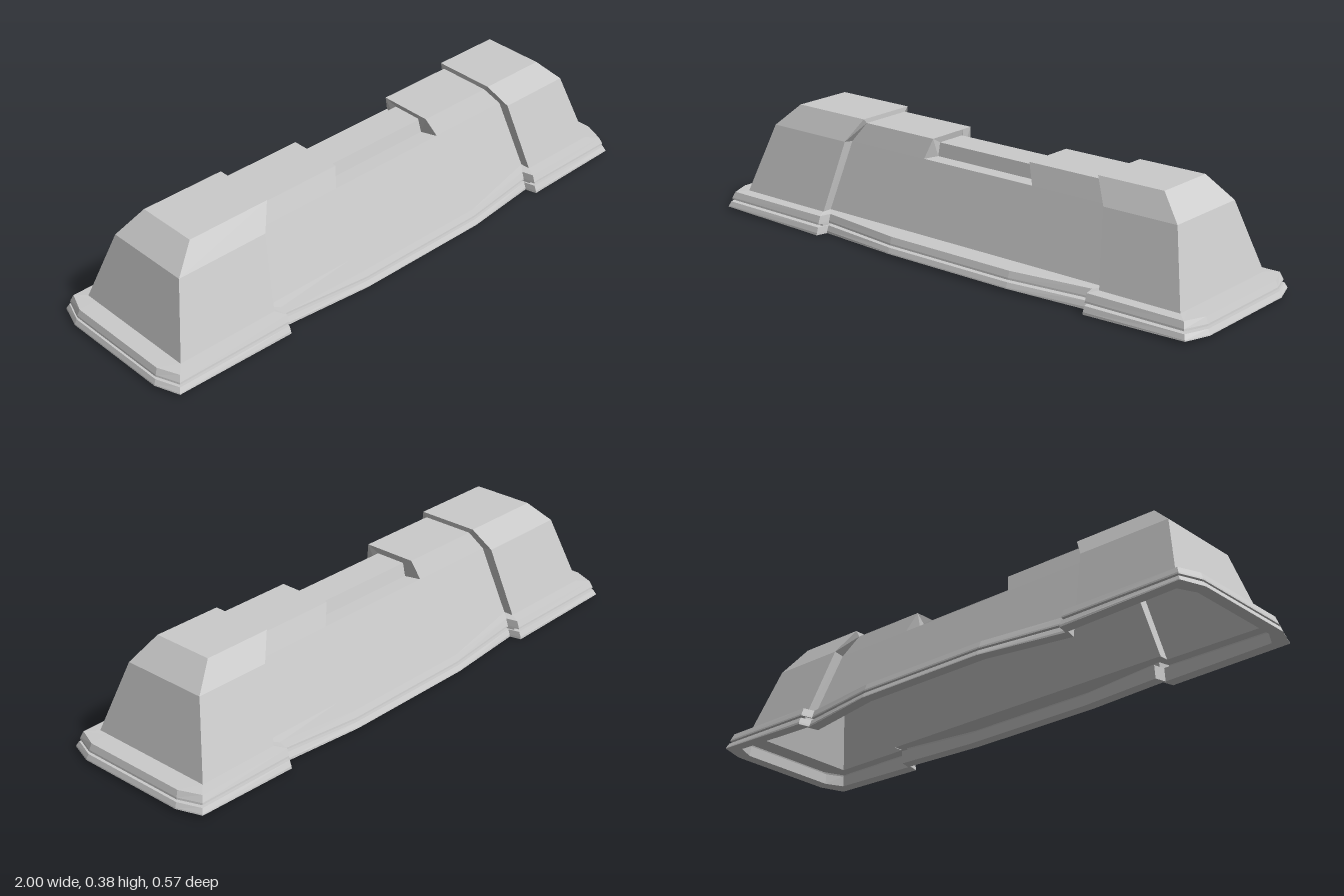
import * as THREE from 'three';

const material = new THREE.MeshStandardMaterial({ color: 0xcccccc, flatShading: true, side: THREE.DoubleSide });

// Joins rows of points into a faceted skin; caps are extra quads
function skin(name, rows, closed, caps = []) {
  const pos = [];
  const quad = (a, b, c, d) => pos.push(...a, ...b, ...c, ...a, ...c, ...d);
  for (let i = 0; i < rows.length - 1; i++) {
    const n = rows[i].length;
    for (let j = 0; j < (closed ? n : n - 1); j++) {
      const k = (j + 1) % n;
      quad(rows[i][j], rows[i][k], rows[i + 1][k], rows[i + 1][j]);
    }
  }
  caps.forEach((q) => quad(...q));
  const geometry = new THREE.BufferGeometry();
  geometry.setAttribute('position', new THREE.Float32BufferAttribute(pos, 3));
  geometry.computeVertexNormals();
  const mesh = new THREE.Mesh(geometry, material);
  mesh.name = name;
  return mesh;
}

// Front half of the rim outline: x, z, and 1 where the underside dips
const outline = [
  [-1, 0.2, 0], [-0.97, 0.285, 0], [-0.53, 0.285, 1], [-0.52, 0.245, 1], [-0.2, 0.285, 0],
  [0.3, 0.285, 0], [0.59, 0.245, 1], [0.6, 0.285, 1], [0.97, 0.285, 0], [1, 0.2, 0],
];
// Matching points around the foot of the body
const foot = [
  [-0.92, 0.19], [-0.92, 0.23], [-0.55, 0.23], [-0.55, 0.195], [-0.2, 0.195],
  [0.3, 0.195], [0.62, 0.195], [0.62, 0.23], [0.915, 0.23], [0.915, 0.19],
];
const mirrorLoop = (half) => [...half, ...half.map(([x, y, z]) => [x, y, -z]).reverse()];

// Rim outline moved inward, at a given height
function rimLoop(inset, y, dip = 0) {
  return mirrorLoop(outline.map(([x, z, d]) => [
    Math.abs(x) > 0.9 ? x - Math.sign(x) * inset : x,
    y - d * dip,
    z - inset * (Math.abs(x) === 1 ? 0.4 : 1),
  ]));
}

// Body section: four [x, y, z] points from the foot to near the centre, mirrored
const section = (xs, profile) => mirrorLoop(profile.map(([z, y], i) => [xs[Math.min(i, 2)], y, z]));

export function createModel() {
  const model = new THREE.Group();

  // Stepped rim: lower flange, recessed neck, upper flange and deck
  const rings = [
    rimLoop(0.045, 0.045),
    rimLoop(0.04, 0.01, 0.01),
    rimLoop(0, 0.01, 0.01),
    rimLoop(0.001, 0.014, 0.006),
    rimLoop(0.008, 0.029, 0.003),
    rimLoop(0.03, 0.029, 0.003),
    rimLoop(0.03, 0.037, 0.002),
    rimLoop(0.01, 0.037, 0.002),
    rimLoop(0.011, 0.043, 0.002),
    rimLoop(0.019, 0.064),
    mirrorLoop(foot.map(([x, z]) => [x, 0.067, z])),
  ];
  model.add(skin('rim', rings, true));

  // Hollow body: two tall end blocks, a slimmer middle and a saddle notch
  const block = [[0.23, 0.065], [0.155, 0.305], [0.11, 0.383], [0.055, 0.383]];
  const middle = [[0.195, 0.065], [0.118, 0.3], [0.095, 0.367], [0.055, 0.367]];
  const notch = [[0.195, 0.065], [0.118, 0.3], [0.065, 0.3], [0.055, 0.345]];
  const leftSeam = [-0.55, -0.513, -0.465];
  const rightSeam = [0.62, 0.575, 0.52];
  const sections = [
    section([-0.92, -0.85, -0.768], block),
    section(leftSeam, block),
    section(leftSeam, middle),
    section([-0.185, -0.185, -0.165], middle),
    section([-0.185, -0.185, -0.17], notch),
    section([0.27, 0.27, 0.25], notch),
    section([0.27, 0.27, 0.24], middle),
    section(rightSeam, middle),
    section(rightSeam, block),
    section([0.915, 0.845, 0.765], block),
  ];
  // Sloping end walls
  const first = sections[0];
  const last = sections[sections.length - 1];
  const caps = [];
  for (let k = 0; k < 2; k++) {
    caps.push([first[k], first[k + 1], first[6 - k], first[7 - k]]);
    caps.push([last[7 - k], last[6 - k], last[k + 1], last[k]]);
  }
  // Rows run the long way so that faces point outward
  const rows = first.map((_, j) => sections.map((s) => s[j]));
  model.add(skin('body', rows, false, caps));

  return model;
}
